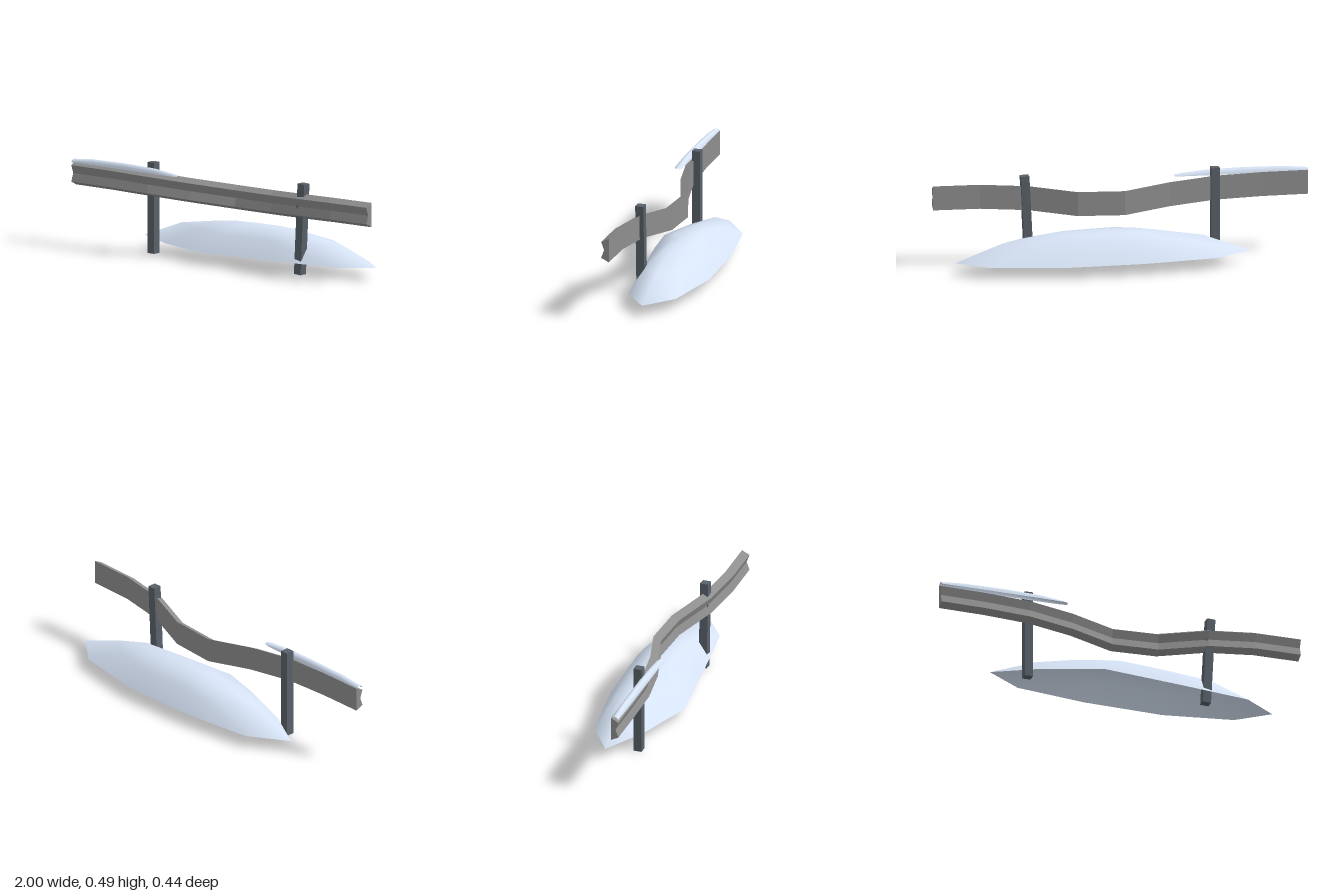
import * as THREE from 'three';
import { mergeVertices } from 'three/addons/utils/BufferGeometryUtils.js';

// Skin a list of equal-length cross-sections; optionally closed round and capped (fan from point capFrom)
function loft(rings, closed, capFrom = -1) {
  const n = rings[0].length, idx = [];
  for (let i = 0; i < rings.length - 1; i++) {
    for (let j = 0; j < (closed ? n : n - 1); j++) {
      const a = i * n + j, b = i * n + (j + 1) % n;
      idx.push(a, b, a + n, b, b + n, a + n);
    }
  }
  if (capFrom >= 0) {
    const end = (rings.length - 1) * n;
    for (let k = 1; k < n - 1; k++) {
      const p = capFrom, q = (capFrom + k) % n, r = (capFrom + k + 1) % n;
      idx.push(p, r, q, end + p, end + q, end + r);
    }
  }
  const g = new THREE.BufferGeometry();
  g.setAttribute('position', new THREE.Float32BufferAttribute(rings.flat(2), 3));
  g.setIndex(idx);
  const merged = mergeVertices(g, 1e-5);
  merged.computeVertexNormals();
  return merged;
}

export function createModel() {
  const group = new THREE.Group();
  const metal = new THREE.MeshStandardMaterial({ color: 0x8e8e8e, flatShading: true });
  const postMat = new THREE.MeshStandardMaterial({ color: 0x596169, flatShading: true });
  const snow = new THREE.MeshStandardMaterial({ color: 0xd6e3f5, side: THREE.DoubleSide });
  const add = (name, geometry, material) => {
    const mesh = new THREE.Mesh(geometry, material);
    mesh.name = name;
    group.add(mesh);
    return mesh;
  };

  // Dented W-section rail: [x, back z, centre y] along its length
  const path = [[-1, 0.135, 0.378], [-0.75, 0.133, 0.377], [-0.5, 0.124, 0.371], [-0.25, 0.08, 0.358],
    [0, 0.006, 0.340], [0.25, 0.018, 0.343], [0.5, 0.104, 0.365], [0.75, 0.135, 0.376], [1, 0.135, 0.378]];
  const profile = [[0, 0.065], [0.042, 0.044], [0.026, 0], [0.042, -0.044], [0, -0.065]];
  add('rail', loft(path.map(([x, z, y]) => profile.map(([dz, dy]) => [x, y + dy, z + dz])), true, 2), metal);

  // Posts, the second one knocked slightly askew
  for (const [name, x, tilt] of [['straightPost', -0.498, 0], ['leaningPost', 0.506, -0.05]]) {
    const post = add(name, new THREE.BoxGeometry(0.045, 0.486, 0.045), postMat);
    post.position.set(x, 0.244, 0.108);
    post.rotation.z = tilt;
  }

  // Snow drift: irregular outline shrinking up to a low crown, open underneath
  const outline = [[0.91, -0.02], [0.73, 0.11], [0.35, 0.162], [-0.1, 0.217], [-0.42, 0.11],
    [-0.663, -0.02], [-0.46, -0.155], [-0.07, -0.21], [0.37, -0.222], [0.745, -0.155]];
  const layers = [[0, 0.208], [0.34, 0.198], [0.68, 0.157], [1, 0.062]];
  const cx = 0.125, cz = -0.012;
  add('snowDrift', loft(layers.map(([t, y]) =>
    outline.map(([x, z]) => [cx + (x - cx) * t, y, cz + (z - cz) * t])), true), snow);

  // Ridge of snow lying along the rail top: [x, half width, height]
  const ridge = [[-1, 0.019, 0.016], [-0.87, 0.021, 0.028], [-0.65, 0.021, 0.031],
    [-0.45, 0.021, 0.026], [-0.32, 0.019, 0.011], [-0.29, 0.011, 0.006]];
  add('railSnow', loft(ridge.map(([x, w, h]) => Array.from({ length: 7 }, (_, i) => {
    const a = Math.PI * i / 6;
    return [x, 0.437 + h * Math.sin(a), 0.156 - w * Math.cos(a)];
  })), false), snow);

  return group;
}
